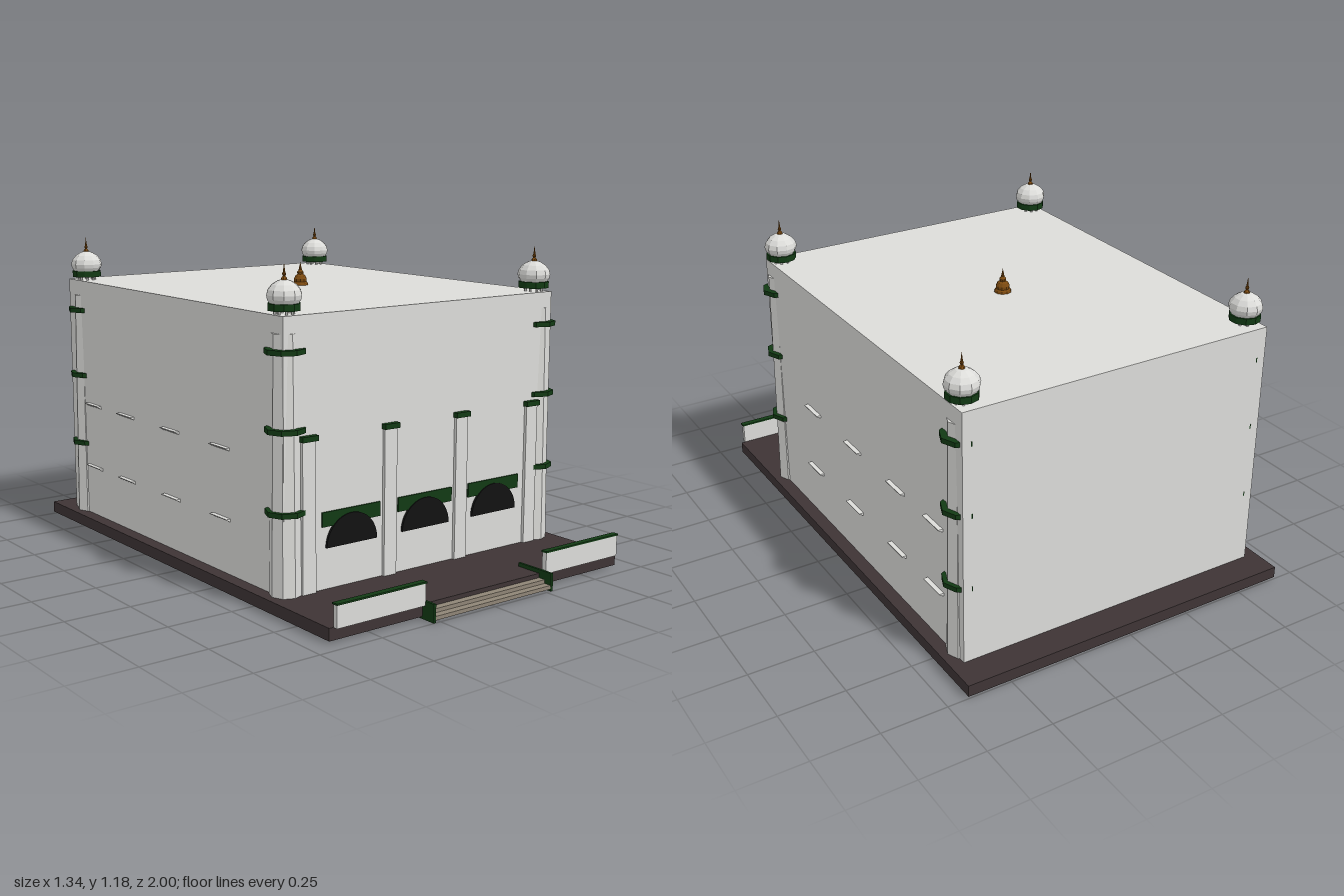
import * as THREE from 'three';

export function createModel() {
  const root = new THREE.Group();
  root.name = 'building';
  const mat = (name, color) => {
    const m = new THREE.MeshStandardMaterial({ color, flatShading: true });
    m.name = name;
    return m;
  };
  const white = mat('white plaster', 0xdcdcd9);
  const green = mat('dark green', 0x123a14);
  const stone = mat('dark stone', 0x3e3435);
  const black = mat('black opening', 0x121212);
  const bronze = mat('bronze', 0x7c4a10);
  const beige = mat('beige step', 0x8f8576);

  const add = (name, geo, m, x = 0, y = 0, z = 0, parent = root) => {
    const mesh = new THREE.Mesh(geo, m);
    mesh.name = name;
    mesh.position.set(x, y, z);
    parent.add(mesh);
    return mesh;
  };
  // box given by its limits on each axis
  const box = (name, m, x0, x1, y0, y1, z0, z1) =>
    add(name, new THREE.BoxGeometry(x1 - x0, y1 - y0, z1 - z0), m,
      (x0 + x1) / 2, (y0 + y1) / 2, (z0 + z1) / 2);
  const lathe = (pts, sides) =>
    new THREE.LatheGeometry(pts.map(([r, y]) => new THREE.Vector2(r, y)), sides);

  // plinth and main hall
  box('plinth', stone, -0.67, 0.67, 0.008, 0.052, -1, 0.942);
  box('hall', white, -0.62, 0.62, 0.052, 1.01, -0.885, 0.625);

  // front pilasters with caps
  for (const x of [-0.522, -0.167, 0.167, 0.522]) {
    box('pilaster', white, x - 0.028, x + 0.028, 0.052, 0.584, 0.62, 0.637);
    box('pilasterCap', green, x - 0.033, x + 0.033, 0.584, 0.603, 0.62, 0.646);
  }

  // arched openings with header panels
  for (const x of [-0.336, 0, 0.336]) {
    box('archHeader', green, x - 0.127, x + 0.127, 0.275, 0.327, 0.622, 0.631);
    const half = new THREE.Shape();
    half.absarc(0, 0, 0.11, 0, Math.PI, false);
    half.closePath();
    add('archOpening', new THREE.ExtrudeGeometry(half,
      { depth: 0.009, bevelEnabled: false, curveSegments: 16 }), black, x, 0.2, 0.626);
  }

  // wedge-shaped ledges on both long walls
  const wedge = new THREE.Shape();
  wedge.moveTo(0, 0);
  wedge.lineTo(0.017, 0.009);
  wedge.lineTo(0.017, 0.012);
  wedge.lineTo(0, 0.012);
  wedge.closePath();
  const ledge = new THREE.ExtrudeGeometry(wedge, { depth: 0.112, bevelEnabled: false });
  ledge.translate(0, 0, -0.056);
  for (const side of [-1, 1])
    for (const y of [0.246, 0.503])
      for (const z of [0.244, -0.095, -0.43, -0.697]) {
        const m = add('sideLedge', ledge, white, side * 0.62, y, z);
        if (side < 0) m.rotation.y = Math.PI;
      }

  // corner towers and domed kiosks
  const shaft = new THREE.CylinderGeometry(0.046, 0.058, 0.898, 8);
  const band = new THREE.CylinderGeometry(0.071, 0.071, 0.018, 8);
  const dome = lathe([[0, 1.046], [0.05, 1.046], [0.059, 1.06], [0.062, 1.074],
    [0.057, 1.091], [0.043, 1.108], [0.022, 1.121], [0, 1.126]], 10);
  const spire = lathe([[0.012, 1.12], [0.009, 1.13], [0.004, 1.135], [0.007, 1.142],
    [0.004, 1.149], [0, 1.18]], 8);
  const post = new THREE.CylinderGeometry(0.005, 0.005, 0.02, 6);
  for (const sx of [-1, 1])
    for (const [tz, dz] of [[0.585, 0.573], [-0.815, -0.813]]) {
      const tower = new THREE.Group();
      tower.name = 'cornerTower';
      root.add(tower);
      const x = sx * 0.585, kx = sx * 0.577;
      add('towerShaft', shaft, white, x, 0.501, tz, tower);
      for (const y of [0.342, 0.624, 0.89]) add('towerBand', band, green, x, y, tz, tower);
      for (let i = 0; i < 8; i++) {
        const a = (i + 0.5) * Math.PI / 4;
        add('kioskPost', post, white,
          kx + 0.032 * Math.cos(a), 1.018, dz + 0.032 * Math.sin(a), tower);
      }
      add('kioskRing', new THREE.CylinderGeometry(0.057, 0.057, 0.024, 10), green,
        kx, 1.035, dz, tower);
      add('dome', dome, white, kx, 0, dz, tower);
      add('domeSpire', spire, bronze, kx, 0, dz, tower);
    }

  // bronze finial in the middle of the roof
  add('roofFinial', lathe([[0.033, 1.008], [0.03, 1.018], [0.025, 1.023], [0.026, 1.034],
    [0.02, 1.046], [0.012, 1.052], [0.013, 1.06], [0.007, 1.068], [0, 1.1]], 10),
    bronze, 0, 0, -0.13);

  // front parapets, stair cheeks and steps
  for (const s of [-1, 1]) {
    const wall = (name, m, a, b, ...rest) =>
      box(name, m, Math.min(s * a, s * b), Math.max(s * a, s * b), ...rest);
    wall('parapet', white, 0.283, 0.654, 0.052, 0.13, 0.942, 0.962);
    wall('parapetCap', green, 0.28, 0.657, 0.13, 0.136, 0.94, 0.965);
    wall('stairCheek', green, 0.27, 0.28, 0, 0.066, 0.838, 1);
  }
  box('upperStep', beige, -0.27, 0.27, 0.008, 0.036, 0.94, 0.97);
  box('lowerStep', beige, -0.27, 0.27, 0.008, 0.022, 0.97, 0.998);

  return root;
}
